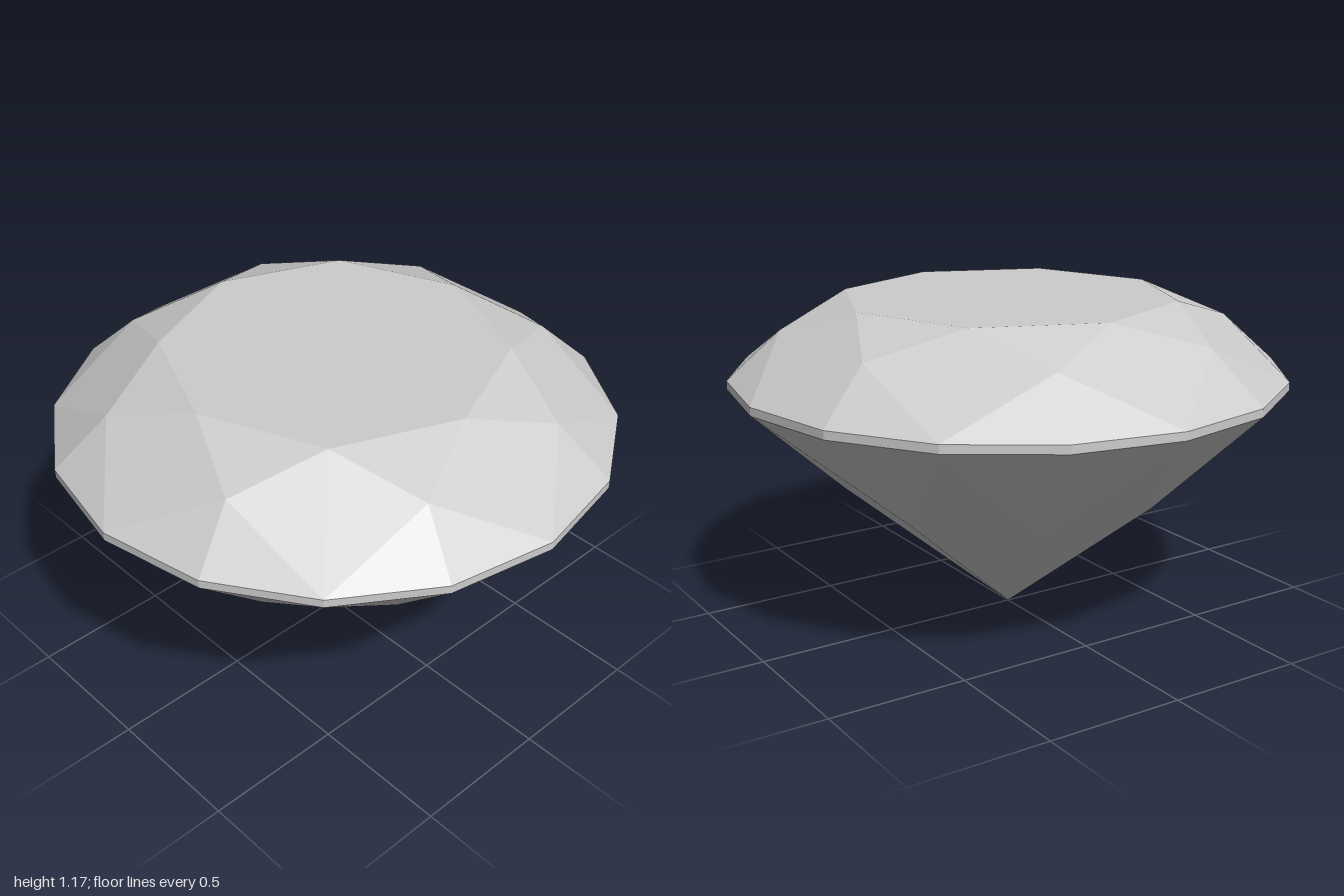
import * as THREE from 'three';

const SIDES = 8; // eightfold symmetry, with half steps between

// Rings of corners: k counts eighths of a turn, starting at the front
const ring = (radius, y) => (k) => {
  const a = (k / SIDES) * Math.PI * 2;
  return [radius * Math.sin(a), y, radius * Math.cos(a)];
};
const table = ring(0.605, 1.17);
const crownMid = ring(0.807, 1.074);
const girdleTop = ring(1, 0.9);
const girdleBottom = ring(1, 0.87);
const pavilionMid = ring(0.6, 0.482);
const culet = [0, 0, 0];

// Builds one mesh from the facets given for each eighth; each is a convex polygon
function facets(name, material, facetsAt) {
  const positions = [];
  for (let i = 0; i < SIDES; i++) {
    for (const p of facetsAt(i)) {
      for (let j = 1; j < p.length - 1; j++) positions.push(...p[0], ...p[j], ...p[j + 1]);
    }
  }
  const geometry = new THREE.BufferGeometry();
  geometry.setAttribute('position', new THREE.Float32BufferAttribute(positions, 3));
  geometry.computeVertexNormals(); // unshared corners give flat facets
  const mesh = new THREE.Mesh(geometry, material);
  mesh.name = name;
  return mesh;
}

export function createModel() {
  const model = new THREE.Group();
  model.name = 'cutGem';
  const gem = new THREE.MeshStandardMaterial({ color: 0xcccccc });
  gem.name = 'gem grey';

  model.add(
    // Flat octagonal top
    facets('table', gem, (i) => [[[0, 1.17, 0], table(i), table(i + 1)]]),

    // Star triangles, kites and upper girdle triangles
    facets('crown', gem, (i) => [
      [table(i), crownMid(i + 0.5), table(i + 1)],
      [girdleTop(i), crownMid(i + 0.5), table(i), crownMid(i - 0.5)],
      [girdleTop(i), girdleTop(i + 0.5), crownMid(i + 0.5)],
      [girdleTop(i + 0.5), girdleTop(i + 1), crownMid(i + 0.5)],
    ]),

    // Thin sixteen-sided band
    facets('girdle', gem, (i) => [i, i + 0.5].map((k) => [
      girdleBottom(k), girdleBottom(k + 0.5), girdleTop(k + 0.5), girdleTop(k),
    ])),

    // Long kites down to the point and lower girdle triangles
    facets('pavilion', gem, (i) => [
      [girdleBottom(i), pavilionMid(i - 0.5), culet, pavilionMid(i + 0.5)],
      [girdleBottom(i + 0.5), girdleBottom(i), pavilionMid(i + 0.5)],
      [girdleBottom(i + 1), girdleBottom(i + 0.5), pavilionMid(i + 0.5)],
    ]),
  );
  return model;
}
